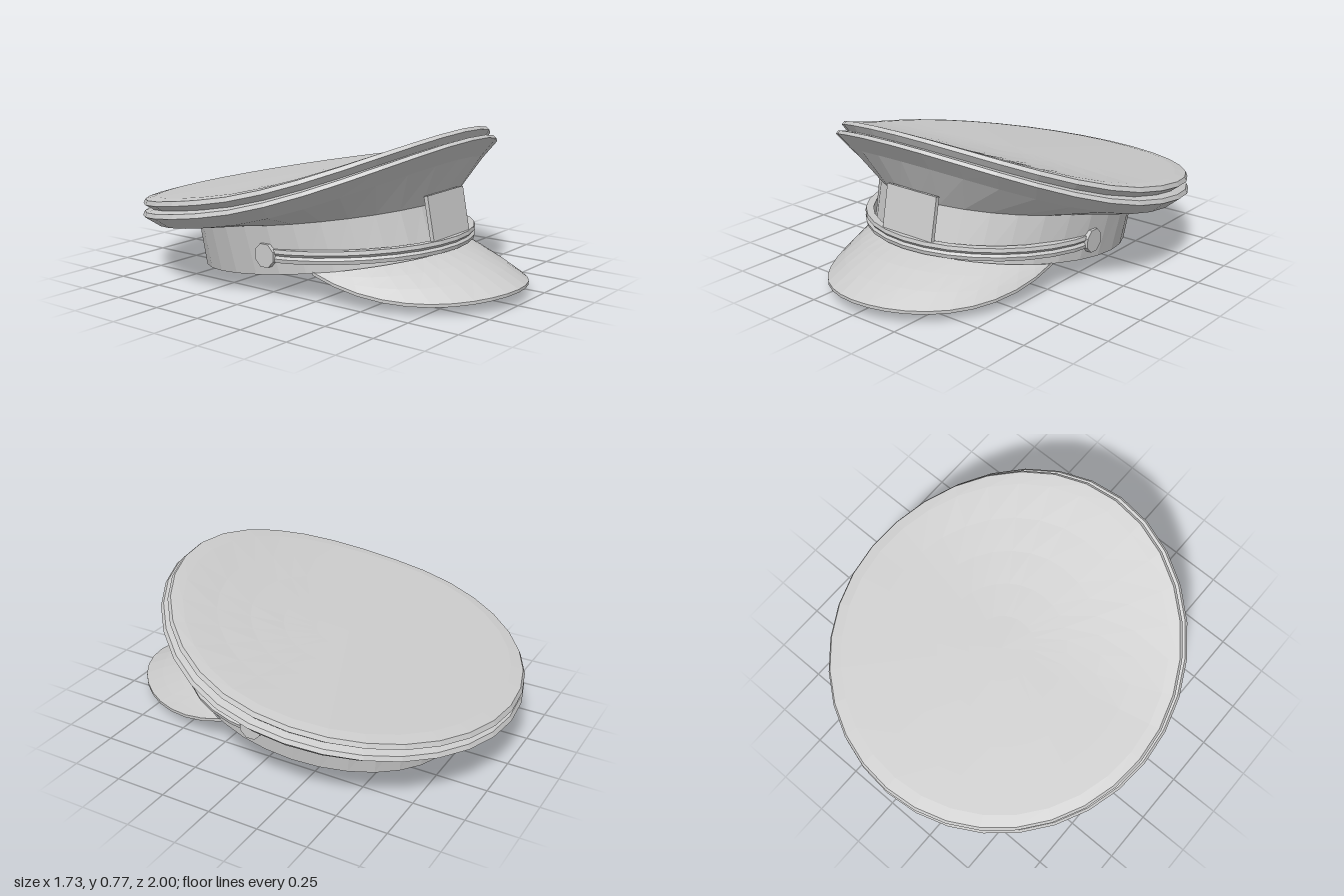
import * as THREE from 'three';

const SEG = 32;
const mat = new THREE.MeshStandardMaterial({ color: 0xcccccc, flatShading: true, side: THREE.DoubleSide });

// Skin over rows of points; rows run upwards, points run towards +x at the front
function skin(name, rows) {
  const n = rows[0].length, pos = rows.flat(2), idx = [];
  for (let r = 0; r < rows.length - 1; r++) {
    for (let i = 0; i < n - 1; i++) {
      const a = r * n + i, b = a + 1, c = a + n, d = c + 1;
      idx.push(a, b, d, a, d, c);
    }
  }
  const geo = new THREE.BufferGeometry();
  geo.setAttribute('position', new THREE.Float32BufferAttribute(pos, 3));
  geo.setIndex(idx);
  geo.computeVertexNormals();
  return named(name, geo);
}

function named(name, geo) {
  const mesh = new THREE.Mesh(geo, mat);
  mesh.name = name;
  return mesh;
}

// Elliptical ring (or arc) whose height follows a rule of z
function ring(cz, rx, rz, height, from = 0, to = Math.PI * 2, seg = SEG) {
  const pts = [];
  for (let i = 0; i <= seg; i++) {
    const a = from + (to - from) * i / seg;
    const z = cz + rz * Math.cos(a);
    pts.push([rx * Math.sin(a), height(z), z]);
  }
  return pts;
}

// Height rules: sloping band edges, and a crown that sweeps up at the front
const bandBottom = z => 0.105 + 0.141 * z;
const bandTop = z => 0.337 + 0.146 * z;
const sweep = lift => z => 0.24 + 0.185 * (z + 1) + 0.224 * Math.max(0, z + 0.1) ** 2 + lift;

export function createModel() {
  const cap = new THREE.Group();
  cap.name = 'peakedCap';

  // Head band with a thin wall
  cap.add(skin('headBand', [
    ring(-0.08, 0.59, 0.63, bandTop),
    ring(-0.035, 0.56, 0.655, bandBottom),
    ring(-0.035, 0.58, 0.675, bandBottom),
    ring(-0.08, 0.61, 0.65, bandTop),
  ]));

  // Flared underside of the crown, up to the lower piping
  cap.add(skin('crownSide', [
    ring(-0.08, 0.61, 0.65, bandTop),
    ring(-0.12, 0.805, 0.79, sweep(-0.055)),
    ring(-0.128, 0.865, 0.872, sweep(0)),
  ]));

  // Two piped edges with a groove between them
  cap.add(skin('crownPiping', [
    ring(-0.128, 0.865, 0.872, sweep(0)),
    ring(-0.13, 0.855, 0.86, sweep(0.02)),
    ring(-0.135, 0.82, 0.82, sweep(0.03)),
    ring(-0.147, 0.85, 0.853, sweep(0.057)),
    ring(-0.15, 0.84, 0.84, sweep(0.078)),
    ring(-0.15, 0.79, 0.78, sweep(0.085)),
  ]));

  // Crown top
  cap.add(skin('crownTop', [1, 0.8, 0.6, 0.4, 0.2, 0].map(
    k => ring(-0.15, 0.79 * k, 0.78 * k, sweep(0.085 + 0.005 * (1 - k))))));

  // Visor: blends from the band edge to a wide curved outer edge
  const START = Math.asin(0.44), VSEG = 20;
  const visorRow = (k, drop) => {
    const pts = [];
    for (let i = 0; i <= VSEG; i++) {
      const t = i / VSEG;
      const a = Math.PI - START - (Math.PI - 2 * START) * t;
      const b = Math.PI * (1 - t), s = Math.sin(b);
      const inX = 0.58 * Math.cos(a), inZ = -0.035 + 0.69 * Math.sin(a);
      const outX = 0.525 * Math.cos(b), outZ = 0.25 + 0.75 * s;
      const inY = bandBottom(inZ) + 0.012 * s, outY = 0.148 - 0.26 * s + 0.192 * s * s;
      pts.push([
        inX + (outX - inX) * k,
        inY + (outY - inY) * k + 0.05 * k * (1 - k) * s - drop,
        inZ + (outZ - inZ) * k,
      ]);
    }
    return pts;
  };
  const steps = [0, 0.33, 0.67, 1];
  cap.add(skin('visor', [
    ...steps.map(k => visorRow(k, 0.015)),
    ...steps.slice().reverse().map(k => visorRow(k, 0)),
  ]));

  // Chin strap: grooved section swept round the front, sinking into the band at the sides
  const section = [[-0.04, -0.03], [-0.004, -0.03], [0, -0.012], [-0.01, 0],
    [0, 0.012], [-0.004, 0.03], [-0.04, 0.03], [-0.04, -0.03]];
  cap.add(skin('chinStrap', section.map(([dr, dy]) => ring(
    0.035, 0.6 + dr, 0.645 + dr, z => 0.205 + 0.062 * (z - 0.035) + dy,
    -Math.PI / 2, Math.PI / 2, 16))));

  // Side buttons holding the strap
  for (const side of [1, -1]) {
    const button = named(side > 0 ? 'leftButton' : 'rightButton',
      new THREE.CylinderGeometry(0.058, 0.058, 0.045, 8));
    button.rotation.set(Math.PI / 8, 0, Math.PI / 2);
    button.position.set(side * 0.583, 0.205, 0.035);
    cap.add(button);
  }

  // Plain front plate leaning back above the strap
  const plate = named('frontPlate', new THREE.BoxGeometry(0.3, 0.21, 0.02));
  plate.position.set(0, 0.372, 0.62);
  plate.rotation.x = -0.19;
  cap.add(plate);

  return cap;
}
